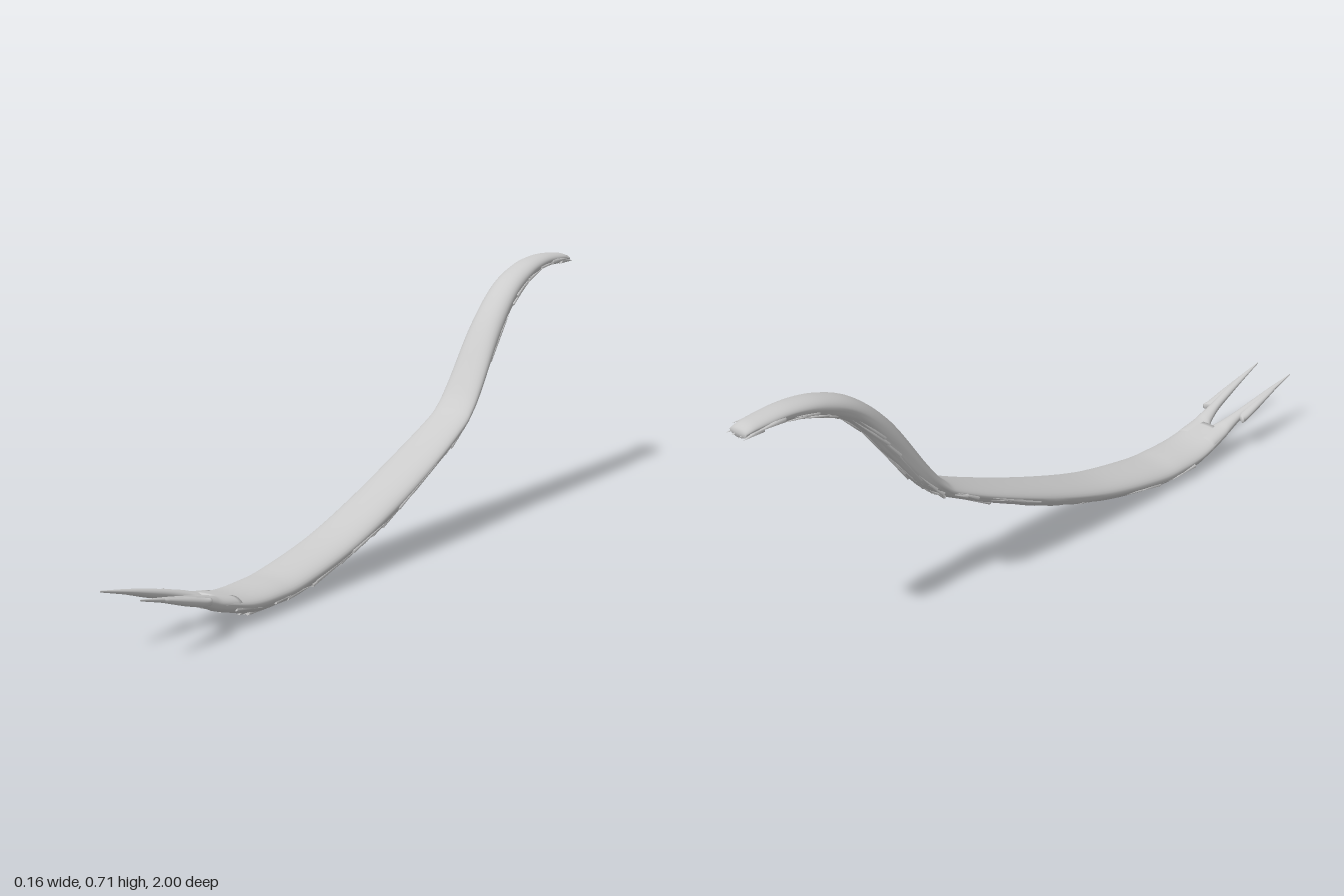
import * as THREE from 'three';

const material = new THREE.MeshStandardMaterial({ color: 0xcccccc, side: THREE.DoubleSide });
const SIDES = 32;

// Stations: z, inner x, outer x, bottom y, top y
const BODY = [
  [-0.99, -0.028, 0.028, 0.668, 0.69], [-0.95, -0.031, 0.031, 0.668, 0.70],
  [-0.85, -0.035, 0.035, 0.665, 0.705], [-0.75, -0.04, 0.04, 0.638, 0.69],
  [-0.65, -0.044, 0.044, 0.575, 0.647], [-0.55, -0.049, 0.049, 0.458, 0.557],
  [-0.45, -0.055, 0.055, 0.338, 0.415], [-0.40, -0.058, 0.058, 0.297, 0.352],
  [-0.35, -0.062, 0.062, 0.268, 0.316], [-0.20, -0.07, 0.07, 0.195, 0.25],
  [0.0, -0.074, 0.074, 0.108, 0.175], [0.2, -0.075, 0.075, 0.047, 0.112],
  [0.4, -0.076, 0.076, 0.008, 0.074], [0.5, -0.075, 0.075, 0.004, 0.067],
  [0.6, -0.071, 0.071, 0.013, 0.069], [0.7, -0.062, 0.062, 0.047, 0.086],
];
const PRONG = [
  [0.64, 0.002, 0.066, 0.03, 0.073], [0.70, 0.001, 0.062, 0.047, 0.086],
  [0.73, 0.014, 0.059, 0.06, 0.096], [0.78, 0.028, 0.057, 0.084, 0.11],
  [0.85, 0.038, 0.063, 0.107, 0.128], [0.92, 0.047, 0.064, 0.131, 0.144],
  [1.0, 0.058, 0.06, 0.156, 0.16],
];
const BARB = [
  [0.765, 0.066, 0.075, 0.088, 0.104], [0.785, 0.045, 0.074, 0.086, 0.109],
  [0.84, 0.045, 0.071, 0.102, 0.124], [0.92, 0.05, 0.065, 0.131, 0.143],
];

// Smooth interpolation of a station list at t in 0..1
function sampler(stations) {
  const curve = (a, b, c) => new THREE.CatmullRomCurve3(
    stations.map(s => new THREE.Vector3(s[a], s[b], s[c])), false, 'catmullrom', 0.5);
  const near = curve(0, 1, 2), far = curve(0, 3, 4);
  return t => {
    const p = near.getPoint(t), q = far.getPoint(t);
    return { z: p.x, x0: p.y, x1: p.z, y0: q.y, y1: q.z };
  };
}

// Point on a section: low smooth crown above, deeper furrowed belly below
function sectionPoint(s, a, furrow) {
  const c = Math.cos(a), n = Math.sin(a);
  const mid = s.y0 + (s.y1 - s.y0) * 0.55;
  const under = Math.max(0, -n);
  const groove = 1 - furrow * Math.sqrt(under) * (0.5 + 0.5 * Math.sin(a * 11 + s.z * 16 + 2 * Math.sin(s.z * 9)));
  const x = (s.x0 + s.x1) / 2 + (s.x1 - s.x0) / 2 * Math.sign(c) * Math.pow(Math.abs(c), 0.9) * groove;
  const y = mid + (n > 0 ? s.y1 - mid : mid - s.y0) * n * groove;
  return new THREE.Vector3(x, y, s.z);
}

// Closed loft through the stations
function loft(stations, rings, furrow, name) {
  const at = sampler(stations), pos = [], index = [];
  for (let i = 0; i <= rings; i++) {
    const s = at(i / rings);
    for (let j = 0; j < SIDES; j++) pos.push(...sectionPoint(s, j / SIDES * Math.PI * 2, furrow).toArray());
  }
  for (let i = 0; i < rings; i++) for (let j = 0; j < SIDES; j++) {
    const k = (j + 1) % SIDES, a = i * SIDES, b = a + SIDES;
    index.push(a + j, a + k, b + k, a + j, b + k, b + j);
  }
  // End caps
  for (const end of [0, 1]) {
    const s = at(end), base = end * rings * SIDES, centre = pos.length / 3;
    pos.push((s.x0 + s.x1) / 2, (s.y0 + s.y1) / 2, s.z);
    for (let j = 0; j < SIDES; j++) {
      const k = (j + 1) % SIDES;
      index.push(centre, base + (end ? j : k), base + (end ? k : j));
    }
  }
  const g = new THREE.BufferGeometry();
  g.setAttribute('position', new THREE.Float32BufferAttribute(pos, 3));
  g.setIndex(index);
  g.computeVertexNormals();
  const mesh = new THREE.Mesh(g, material);
  mesh.name = name;
  return mesh;
}

function seeded(seed) {
  return () => (seed = (seed * 16807) % 2147483647) / 2147483647;
}

// Thin splinter from base to tip
function splinter(base, tip, radius, name) {
  const dir = tip.clone().sub(base), length = dir.length();
  const mesh = new THREE.Mesh(new THREE.ConeGeometry(radius, length, 6), material);
  mesh.position.copy(base).add(tip).multiplyScalar(0.5);
  mesh.quaternion.setFromUnitVectors(new THREE.Vector3(0, 1, 0), dir.normalize());
  mesh.name = name;
  return mesh;
}

export function createModel() {
  const model = new THREE.Group();
  model.name = 'forkedTongue';
  model.add(loft(BODY, 120, 0.1, 'body'));

  // Forked tip with backward barbs
  for (const side of [1, -1]) {
    const mirror = list => list.map(([z, a, b, c, d]) => side > 0 ? [z, a, b, c, d] : [z, -b, -a, c, d]);
    const label = side > 0 ? 'left' : 'right';
    model.add(loft(mirror(PRONG), 30, 0.05, label + 'Prong'), loft(mirror(BARB), 16, 0.05, label + 'Barb'));
  }

  // Rough slivers lying along the belly and flanks
  const slivers = new THREE.Group();
  slivers.name = 'bellySlivers';
  const rand = seeded(41), at = sampler(BODY), count = 84;
  for (let i = 0; i < count; i++) {
    const t = 0.14 + 0.84 * (i + rand()) / count;
    const a = Math.PI * (1.04 + 0.92 * rand());
    const drift = (rand() - 0.5) * 0.5;
    const base = sectionPoint(at(t), a, 0.14);
    const tip = sectionPoint(at(t - 0.045 - 0.03 * rand()), a + drift, 0);
    tip.x *= 1.02;
    slivers.add(splinter(base, tip, 0.004 + 0.003 * rand(), 'sliver'));
  }
  model.add(slivers);

  // Ragged root end
  const root = new THREE.Group();
  root.name = 'raggedRoot';
  for (const x of [-0.03, -0.012, 0.012, 0.03]) {
    root.add(splinter(new THREE.Vector3(x * 0.75, 0.68, -0.94), new THREE.Vector3(x, 0.673, -1), 0.011, 'rootTooth'));
  }
  for (const x of [-1, 1]) {
    root.add(splinter(new THREE.Vector3(x * 0.028, 0.683, -0.88), new THREE.Vector3(x * 0.039, 0.685, -0.975), 0.009, 'rootSpur'));
  }
  model.add(root);
  return model;
}
